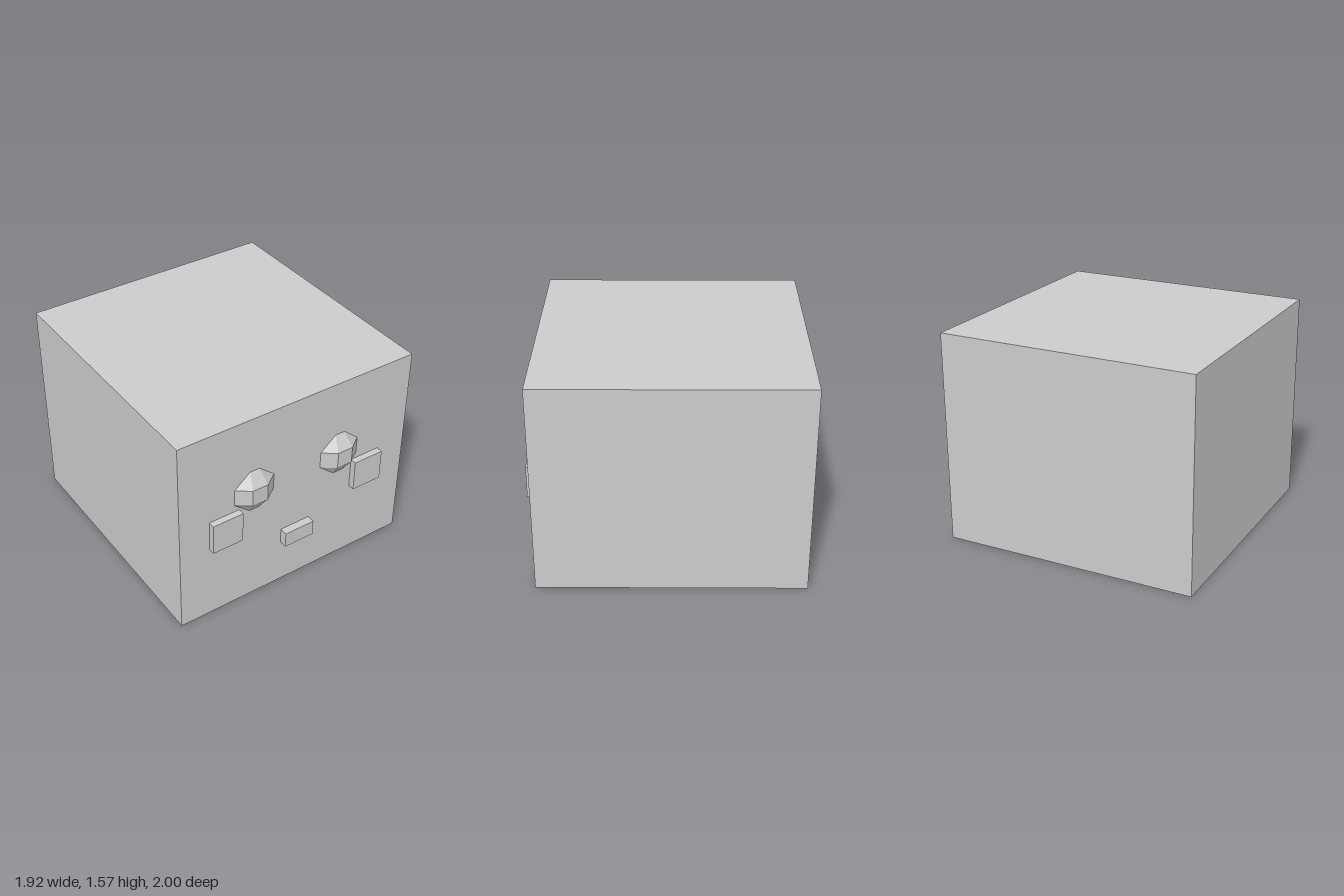
import * as THREE from 'three';

export function createModel() {
  const group = new THREE.Group();
  const material = new THREE.MeshStandardMaterial({ color: 0xcccccc, flatShading: true });

  function add(name, geometry, x, y, z) {
    const mesh = new THREE.Mesh(geometry, material);
    mesh.name = name;
    mesh.position.set(x, y, z);
    group.add(mesh);
  }

  // Block-shaped head; its face lies at z = 0.928
  const height = 1.57, back = -1, front = 0.928;
  add('head', new THREE.BoxGeometry(1.92, height, front - back), 0, height / 2, (front + back) / 2);

  // Faceted eyes sunk into the face, with square cheeks below
  for (const [side, s] of [['left', 1], ['right', -1]]) {
    add(side + 'Eye', new THREE.SphereGeometry(0.21, 10, 5), s * 0.36, 0.967, 0.81);
    add(side + 'Cheek', new THREE.BoxGeometry(0.242, 0.242, 0.1), s * 0.602, 0.727, 0.927);
  }

  // Small raised mouth
  add('mouth', new THREE.BoxGeometry(0.242, 0.121, 0.12), 0, 0.425, 0.928);

  return group;
}
